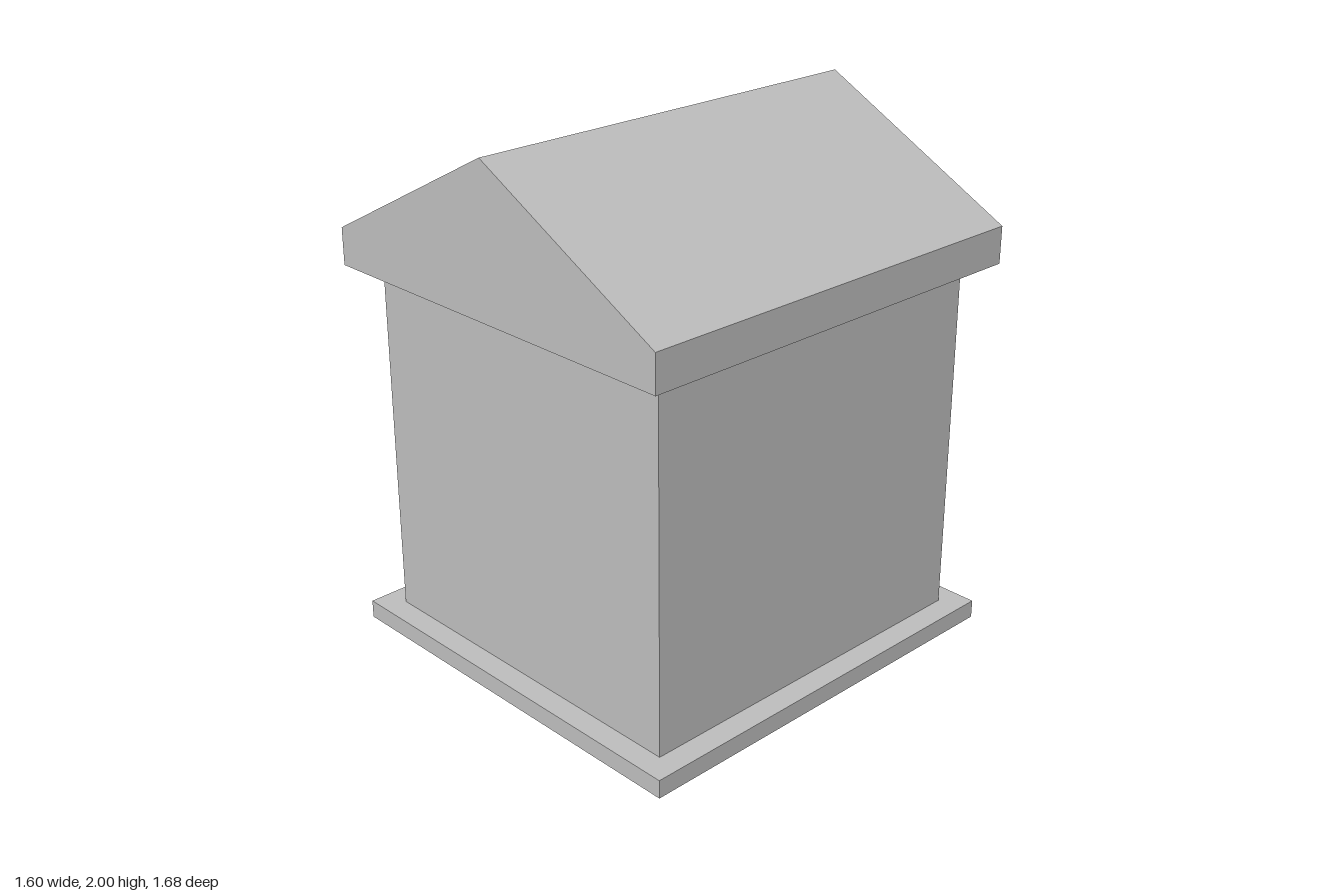
import * as THREE from 'three';

export function createModel() {
  const model = new THREE.Group();
  const stone = new THREE.MeshStandardMaterial({ color: 0xbdbdbd });
  stone.name = 'grey stone';

  const floorY = 0.07, eaveY = 1.44;
  const bodyX = 0.707, bodyZ = 0.74;
  const recess = 0.15, step = 0.115;

  function add(name, geometry, x = 0, y = 0, z = 0) {
    const mesh = new THREE.Mesh(geometry, stone);
    mesh.name = name;
    mesh.position.set(x, y, z);
    model.add(mesh);
  }

  // Outline extruded along z
  function prism(points, depth) {
    const shape = new THREE.Shape(points.map(([x, y]) => new THREE.Vector2(x, y)));
    return new THREE.ExtrudeGeometry(shape, { depth, bevelEnabled: false });
  }

  // Doorway-shaped surround: two jambs and a lintel, open at the floor
  function portal(outerX, outerTop, innerX, innerTop) {
    return prism([
      [-outerX, floorY], [-innerX, floorY], [-innerX, innerTop], [innerX, innerTop],
      [innerX, floorY], [outerX, floorY], [outerX, outerTop], [-outerX, outerTop],
    ], recess);
  }

  // Base slab
  add('base', new THREE.BoxGeometry(1.6, floorY, 1.66), 0, floorY / 2, 0);

  // Solid chamber, ending at the back of the doorway recess
  const depth = bodyZ * 2 - recess;
  add('chamber', new THREE.BoxGeometry(bodyX * 2, eaveY - floorY, depth),
    0, (floorY + eaveY) / 2, recess / 2);

  // Back wall surround and the inner door frame, both flush with the back face
  add('backWall', portal(bodyX, eaveY, bodyX - step, 1.33), 0, 0, -bodyZ);
  add('doorFrame', portal(bodyX - 2 * step, 1.21, bodyX - 3 * step, 1.09), 0, 0, -bodyZ);

  // Gabled roof with upright eaves
  add('roof', prism([
    [-0.8, eaveY], [0.8, eaveY], [0.8, 1.58], [0, 2], [-0.8, 1.58],
  ], 1.68), 0, 0, -0.84);

  return model;
}
